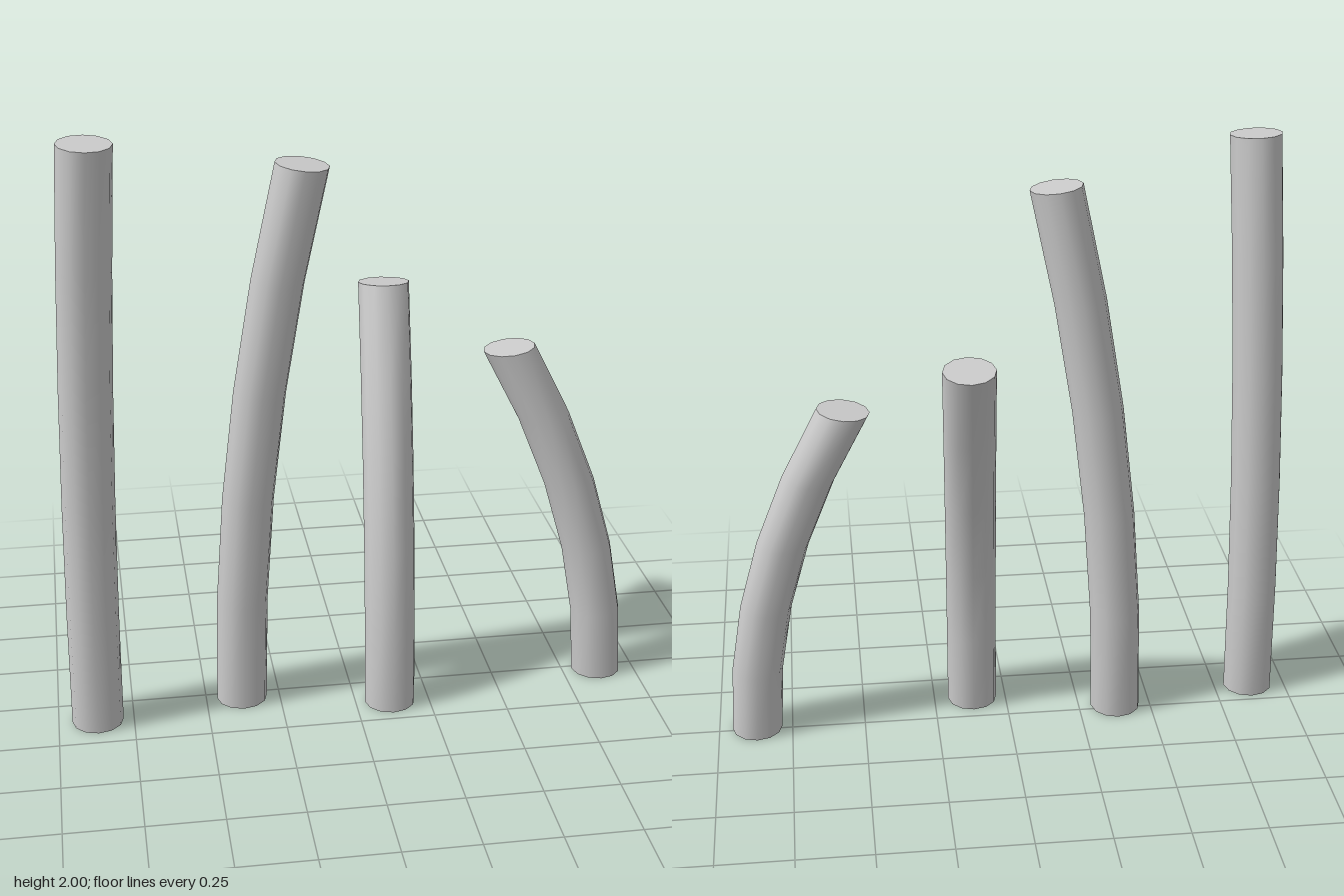
import * as THREE from 'three';

const RADIUS = 0.085, SIDES = 12, ROWS = 5;

// Upright stalk that leans along a parabola, its rings tipping slightly with the bend
function bentStalk(base, lean, height, tilt) {
  const geo = new THREE.CylinderGeometry(RADIUS, RADIUS, height, SIDES, ROWS);
  geo.translate(0, height / 2, 0);
  const [lx, lz] = lean;
  const len = Math.hypot(lx, lz);
  const pos = geo.attributes.position;
  for (let i = 0; i < pos.count; i++) {
    const x = pos.getX(i), y = pos.getY(i), z = pos.getZ(i);
    const t = y / height;
    const along = (x * lx + z * lz) / len;
    pos.setXYZ(i, x + lx * t * t, y - tilt * t * along, z + lz * t * t);
  }
  geo.computeVertexNormals();

  // Smooth the side seam by averaging the first and last normal of each row
  const nor = geo.attributes.normal;
  const a = new THREE.Vector3(), b = new THREE.Vector3();
  for (let row = 0; row <= ROWS; row++) {
    const first = row * (SIDES + 1), last = first + SIDES;
    a.fromBufferAttribute(nor, first).add(b.fromBufferAttribute(nor, last)).normalize();
    nor.setXYZ(first, a.x, a.y, a.z);
    nor.setXYZ(last, a.x, a.y, a.z);
  }

  const mesh = new THREE.Mesh(geo, new THREE.MeshStandardMaterial({ color: 0xcccccc }));
  mesh.position.set(base[0], 0, base[1]);
  return mesh;
}

export function createModel() {
  const group = new THREE.Group();
  group.name = 'bentStalks';
  const stalks = [
    { name: 'tallestStalk', base: [-0.87, 0.107], lean: [0.053, 0.098], height: 1.993, tilt: 0.08 },
    { name: 'tallStalk', base: [-0.378, 0.025], lean: [0.218, 0.06], height: 1.875, tilt: 0.12 },
    { name: 'shortStalk', base: [0.117, 0.127], lean: [0.028, -0.338], height: 1.388, tilt: 0.14 },
    { name: 'shortestStalk', base: [0.87, 0.015], lean: [-0.335, -0.05], height: 1.198, tilt: 0.125 },
  ];
  for (const s of stalks) {
    const mesh = bentStalk(s.base, s.lean, s.height, s.tilt);
    mesh.name = s.name;
    group.add(mesh);
  }
  return group;
}
